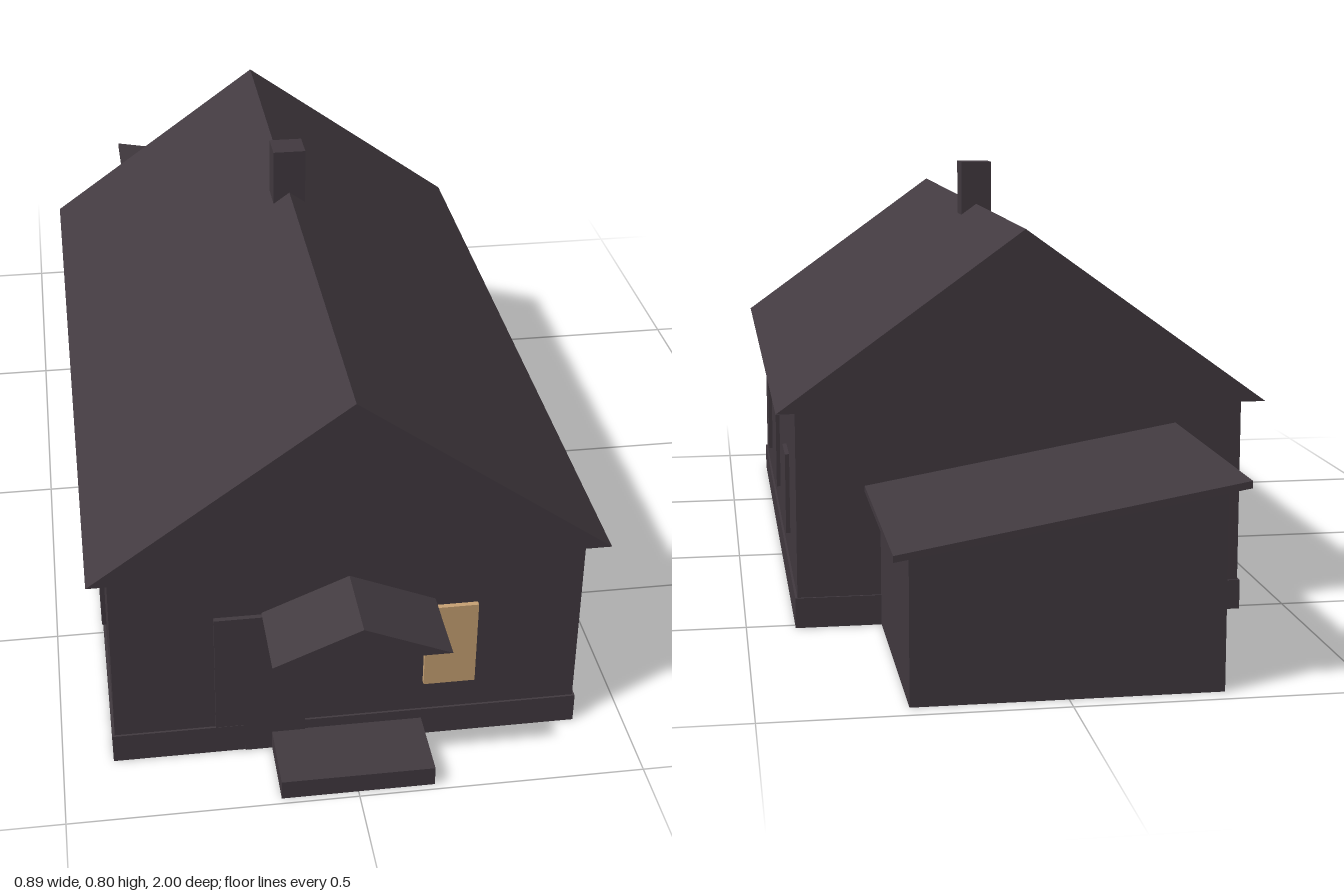
import * as THREE from 'three';

export function createModel() {
  const house = new THREE.Group();
  house.name = 'house';

  const dark = new THREE.MeshStandardMaterial({ color: 0x423a40 });
  dark.name = 'dark timber';
  const glow = new THREE.MeshStandardMaterial({ color: 0xc8a274 });
  glow.name = 'lit window';

  const add = (name, geometry, material) => {
    const mesh = new THREE.Mesh(geometry, material);
    mesh.name = name;
    house.add(mesh);
    return mesh;
  };

  // Box given by its extents on each axis
  const box = (name, [x0, x1], [y0, y1], [z0, z1], material = dark) => {
    const mesh = add(name, new THREE.BoxGeometry(x1 - x0, y1 - y0, z1 - z0), material);
    mesh.position.set((x0 + x1) / 2, (y0 + y1) / 2, (z0 + z1) / 2);
  };

  // Cross-section in x and y, extended along z
  const prism = (name, points, z0, z1) => {
    const shape = new THREE.Shape(points.map(([x, y]) => new THREE.Vector2(x, y)));
    const geometry = new THREE.ExtrudeGeometry(shape, { depth: z1 - z0, bevelEnabled: false });
    add(name, geometry.translate(0, 0, z0), dark);
  };
  const gable = (name, half, eave, ridge, z0, z1) =>
    prism(name, [[-half, eave], [half, eave], [0, ridge]], z0, z1);

  // Main building
  box('foundation', [-0.412, 0.412], [0, 0.055], [-0.518, 0.858]);
  box('walls', [-0.408, 0.408], [0.05, 0.4], [-0.514, 0.854]);
  gable('mainRoof', 0.443, 0.398, 0.717, -0.55, 0.885);
  box('chimney', [-0.031, 0.031], [0.66, 0.803], [0.04, 0.1]);

  // Rear annex with a single-pitch roof, low on the left side
  prism('annexWalls', [[-0.257, 0], [0.257, 0], [0.257, 0.252], [-0.257, 0.341]], -0.965, -0.5);
  prism('annexRoof', [[-0.285, 0.344], [0.285, 0.246], [0.285, 0.257], [-0.285, 0.356]], -1, -0.512);

  // Entrance
  box('doorstep', [-0.133, 0.133], [0, 0.036], [0.85, 0.988]);
  gable('porchRoof', 0.15, 0.295, 0.358, 0.85, 1);
  box('door', [-0.18, -0.075], [0, 0.24], [0.853, 0.86]);
  box('frontShutter', [-0.232, -0.13], [0.06, 0.292], [0.854, 0.863]);
  box('frontWindow', [0.134, 0.225], [0.116, 0.281], [0.854, 0.863], glow);

  // Three windows on each side, the rear right one lit
  for (const side of [-1, 1]) {
    for (const z of [0.573, 0.171, -0.232]) {
      const x = side < 0 ? [-0.416, -0.408] : [0.408, 0.416];
      const lit = side < 0 && z < 0;
      box('sideWindow', x, [0.116, 0.27], [z - 0.05, z + 0.05], lit ? glow : dark);
    }
  }

  return house;
}
